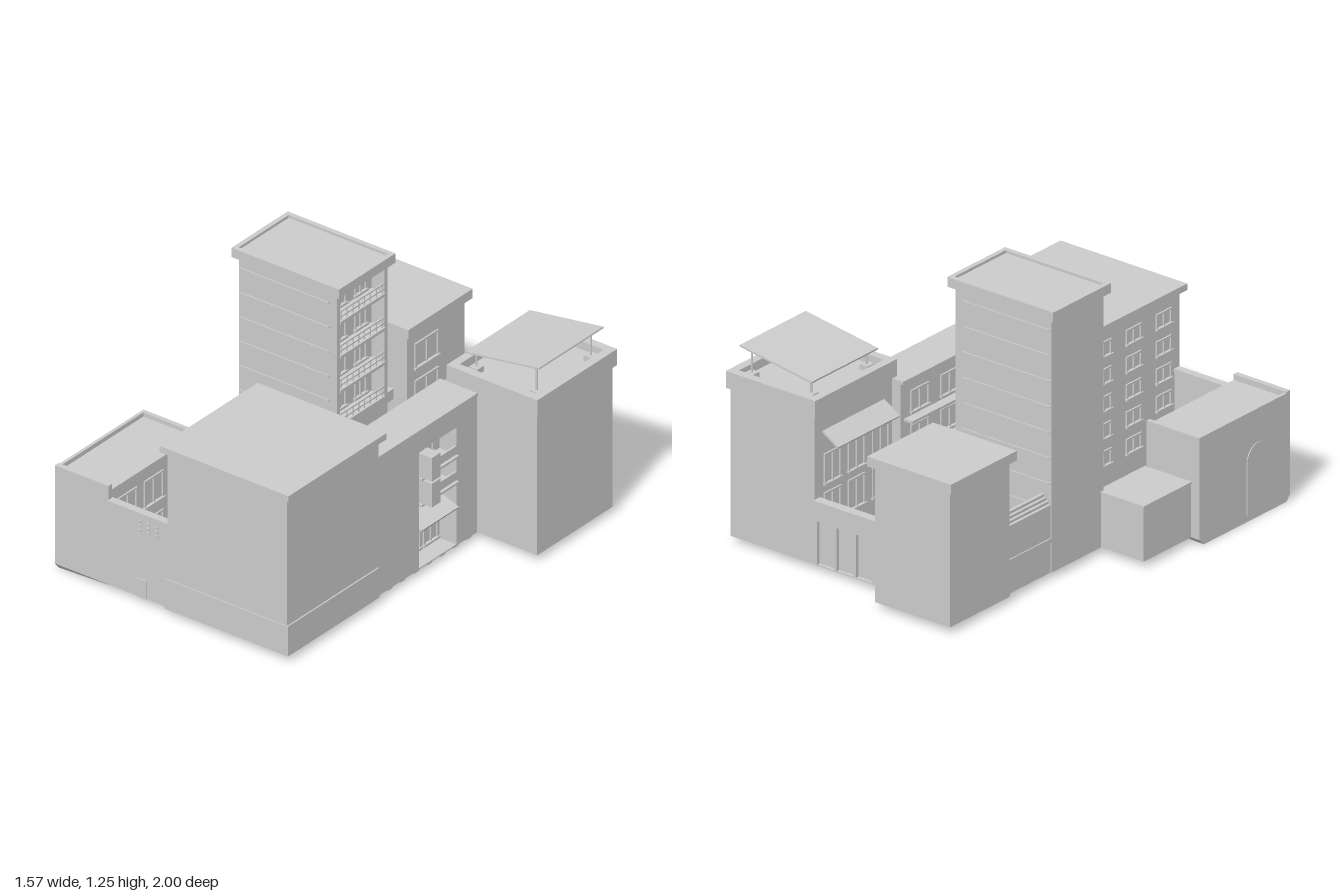
import * as THREE from 'three';

const mat = new THREE.MeshStandardMaterial({ color: 0xcccccc, side: THREE.DoubleSide });

export function createModel() {
  const model = new THREE.Group();
  const add = (name, geo, parent = model) => {
    const m = new THREE.Mesh(geo, mat);
    m.name = name;
    parent.add(m);
    return m;
  };
  const group = (name) => {
    const g = new THREE.Group();
    g.name = name;
    model.add(g);
    return g;
  };
  // Box given by its limits; an open one has no underside
  const box = (p, name, x0, x1, y0, y1, z0, z1, open = false) => {
    const g = new THREE.BoxGeometry(x1 - x0, y1 - y0, z1 - z0);
    if (open) {
      const idx = Array.from(g.index.array);
      idx.splice(18, 6);
      g.setIndex(idx);
      g.clearGroups();
    }
    g.translate((x0 + x1) / 2, (y0 + y1) / 2, (z0 + z1) / 2);
    return add(name, g, p);
  };
  // Flat slab with a raised rim around it
  const rimmedRoof = (p, x0, x1, y0, y1, yFloor, z0, z1, t) => {
    box(p, 'roofSlab', x0, x1, y0, yFloor, z0, z1);
    for (const [a, b] of [[x0, x0 + t], [x1 - t, x1]]) box(p, 'roofRim', a, b, yFloor, y1, z0, z1);
    for (const [a, b] of [[z0, z0 + t], [z1 - t, z1]]) box(p, 'roofRim', x0 + t, x1 - t, yFloor, y1, a, b);
  };
  // Raised frame and sill on a wall that faces along x
  const windowX = (p, x, dir, y, z, w, h) => {
    const lim = (d) => (dir > 0 ? [x, x + d] : [x - d, x]);
    const [a, b] = lim(0.008), [c, d] = lim(0.014), t = 0.008;
    for (const s of [0, w - t]) box(p, 'windowJamb', a, b, y, y + h, z + s, z + s + t);
    box(p, 'windowHead', a, b, y + h - t, y + h, z, z + w);
    box(p, 'windowSill', c, d, y - 0.006, y + 0.004, z - 0.005, z + w + 0.005);
    box(p, 'windowMullion', a, b, y, y + h, z + w / 2 - 0.003, z + w / 2 + 0.003);
  };

  // Large front block with plinth and flat overhanging roof
  const hall = group('frontBlock');
  box(hall, 'walls', -0.18, 0.457, 0.03, 0.79, 0.355, 0.98, true);
  box(hall, 'roof', -0.205, 0.48, 0.79, 0.82, 0.33, 1.0);
  box(hall, 'plinthFront', -0.19, 0.464, 0.03, 0.175, 0.98, 0.985);
  box(hall, 'plinthSide', 0.457, 0.464, 0.03, 0.175, 0.36, 0.985);
  box(hall, 'floorStrip', -0.12, 0.2, 0.03, 0.035, 0.355, 0.978);
  for (let r = 0; r < 5; r++)
    for (const z of [0.42, 0.62, 0.82]) windowX(hall, -0.18, -1, 0.16 + r * 0.126, z, 0.1, 0.07);

  // Low front-right wing with lipped roof, arched doorway and sloping footing
  const wing = group('sideWing');
  box(wing, 'walls', -0.785, -0.5, 0.03, 0.48, 0.365, 0.97);
  box(wing, 'frontLip', -0.785, -0.5, 0.48, 0.507, 0.945, 0.97);
  box(wing, 'outerLip', -0.785, -0.77, 0.48, 0.5, 0.365, 0.945);
  box(wing, 'backLip', -0.77, -0.5, 0.48, 0.5, 0.365, 0.385);
  const arch = new THREE.Shape();
  arch.moveTo(-0.075, 0);
  arch.lineTo(0.075, 0);
  arch.lineTo(0.075, 0.24);
  arch.absarc(0, 0.24, 0.075, 0, Math.PI, false);
  const archGeo = new THREE.ExtrudeGeometry(arch, { depth: 0.005, bevelEnabled: false });
  archGeo.rotateY(-Math.PI / 2).translate(-0.784, 0.03, 0.755);
  add('archedDoor', archGeo, wing);
  const foot = new THREE.BoxGeometry(0.285, 0.03, 0.605).translate(-0.6425, 0.015, 0.6675);
  const fp = foot.attributes.position;
  for (let i = 0; i < fp.count; i++) {
    if (fp.getY(i) > 0.01) continue;
    if (fp.getX(i) > -0.6) fp.setY(i, 0.028);
    else fp.setZ(i, fp.getZ(i) > 0.6 ? 0.945 : 0.395);
  }
  foot.computeVertexNormals();
  add('footing', foot, wing);
  for (const y of [0.1, 0.29])
    for (const z of [0.42, 0.6, 0.78]) windowX(wing, -0.5, 1, y, z, 0.13, 0.13);

  // Entrance wall with coping, door and vents between wing and front block
  const gate = group('entranceWall');
  box(gate, 'wall', -0.5, -0.18, 0.03, 0.425, 0.945, 0.97);
  box(gate, 'coping', -0.503, -0.18, 0.425, 0.44, 0.94, 0.977);
  box(gate, 'door', -0.345, -0.295, 0.03, 0.12, 0.97, 0.975);
  for (let i = 0; i < 3; i++)
    for (let j = 0; j < 3; j++)
      box(gate, 'vent', -0.34 + i * 0.045, -0.325 + i * 0.045, 0.35 + j * 0.022, 0.358 + j * 0.022, 0.97, 0.976);
  box(gate, 'yardFloor', -0.5, -0.18, 0.03, 0.037, 0.36, 0.945);

  // Small lean-to beside the tower
  box(model, 'annex', -0.74, -0.49, 0.03, 0.28, 0.05, 0.365, true);
  box(model, 'annexRoof', -0.745, -0.49, 0.28, 0.288, 0.045, 0.365);

  // Tower with banded faces and stacked balconies
  const tower = group('tower');
  box(tower, 'core', -0.51, -0.06, 0.03, 1.2, -0.28, 0.065, true);
  box(tower, 'lowerEnd', -0.06, 0.01, 0.03, 0.55, -0.28, 0.065, true);
  for (const z of [-0.28, 0.045]) box(tower, 'balconyFin', -0.06, 0.01, 0.55, 1.2, z, z + 0.02);
  for (let i = 0; i < 4; i++) {
    const y = 0.55 + i * 0.166;
    box(tower, 'balconySlab', -0.06, 0.015, y, y + 0.014, -0.26, 0.045);
    for (const h of [0.03, 0.055]) box(tower, 'balconyRail', 0.002, 0.009, y + h, y + h + 0.006, -0.26, 0.045);
    for (let k = 0; k < 8; k++)
      box(tower, 'railPost', 0.003, 0.008, y, y + 0.06, -0.25 + k * 0.04, -0.246 + k * 0.04);
    for (const z of [-0.22, -0.08]) windowX(tower, -0.06, 1, y + 0.03, z, 0.08, 0.1);
  }
  for (let y = 0.2; y < 1.19; y += 0.118) {
    box(tower, 'frontBand', -0.505, -0.03, y, y + 0.007, 0.065, 0.071);
    box(tower, 'backBand', -0.505, -0.03, y, y + 0.007, -0.286, -0.28);
  }
  rimmedRoof(tower, -0.535, 0.037, 1.2, 1.245, 1.232, -0.3, 0.085, 0.022);
  box(tower, 'porchCanopy', 0.01, 0.07, 0.3, 0.315, -0.235, 0.005);
  for (const [a, b] of [[-0.34, -0.26], [-0.245, -0.02]]) box(tower, 'frontBalcony', a, b, 0.3, 0.34, 0.065, 0.12);
  box(tower, 'terraceBox', -0.245, -0.197, 0.44, 0.545, 0.065, 0.08);

  // Rear block with capped roof, windows and a balcony
  const rear = group('rearBlock');
  box(rear, 'walls', -0.525, -0.12, 0.03, 0.66, -0.975, -0.58);
  box(rear, 'roof', -0.55, -0.097, 0.66, 0.705, -1.0, -0.56);
  for (const y of [0.3, 0.48]) windowX(rear, -0.12, 1, y, -0.79, 0.16, 0.12);
  box(rear, 'balcony', -0.4, -0.19, 0.33, 0.38, -0.58, -0.49);
  box(rear, 'balconyDoor', -0.32, -0.26, 0.38, 0.5, -0.58, -0.545);

  // Link wall between rear block and tower, with slatted lean-to roof
  const link = group('linkWall');
  box(link, 'wall', -0.505, -0.485, 0.03, 0.33, -0.58, -0.28);
  box(link, 'ledge', -0.511, -0.505, 0.17, 0.19, -0.58, -0.28);
  for (let i = 0; i < 4; i++)
    box(link, 'roofSlat', -0.505 + i * 0.011, -0.49 + i * 0.011, 0.33 + i * 0.014, 0.342 + i * 0.014, -0.58, -0.28);

  // Corner block with parapet and tilted canopy on posts
  const corner = group('cornerBlock');
  box(corner, 'walls', 0.315, 0.77, 0.03, 0.715, -0.84, -0.325, true);
  rimmedRoof(corner, 0.3, 0.783, 0.715, 0.793, 0.752, -0.855, -0.31, 0.04);
  const roofY = (x) => 0.845 + (x - 0.355) * 0.15;
  for (const x of [0.39, 0.71])
    for (const z of [-0.77, -0.4]) {
      box(corner, 'postBase', x - 0.022, x + 0.022, 0.752, 0.778, z - 0.022, z + 0.022);
      const h = roofY(x) - 0.765;
      add('canopyPost', new THREE.CylinderGeometry(0.005, 0.005, h, 8).translate(x, 0.765 + h / 2, z), corner);
    }
  const canopy = box(corner, 'canopy', -0.197, 0.197, -0.004, 0.004, -0.22, 0.22);
  canopy.position.set(0.55, 0.875, -0.59);
  canopy.rotation.z = Math.atan(0.15);
  const awning = box(corner, 'awning', -0.05, 0.05, -0.005, 0.005, -0.205, 0.205);
  awning.position.set(0.272, 0.6, -0.585);
  awning.rotation.z = 0.55;
  for (const y of [0.2, 0.38])
    for (const z of [-0.78, -0.62, -0.46]) windowX(corner, 0.315, -1, y, z, 0.11, 0.14);

  // Rear gate wall between corner block and rear block
  const back = group('rearGate');
  box(back, 'lintel', -0.12, 0.315, 0.235, 0.32, -0.845, -0.81);
  box(back, 'panel', -0.12, 0.315, 0.03, 0.235, -0.825, -0.81);
  for (let i = 0; i < 5; i++)
    box(back, 'gatePost', -0.12 + i * 0.105, -0.105 + i * 0.105, 0.03, 0.235, -0.842, -0.825);
  box(back, 'coping', -0.12, 0.315, 0.32, 0.328, -0.85, -0.805);

  // Gallery building on the left, recessed in the middle of its street face
  const side = group('galleryBlock');
  box(side, 'innerWalls', 0.27, 0.36, 0.03, 0.69, -0.325, 0.355);
  box(side, 'streetWallFront', 0.36, 0.45, 0.03, 0.69, 0.07, 0.355);
  box(side, 'streetWallBack', 0.36, 0.45, 0.03, 0.69, -0.325, -0.185);
  box(side, 'streetWallTop', 0.36, 0.45, 0.6, 0.69, -0.185, 0.07);
  box(side, 'roof', 0.255, 0.455, 0.69, 0.705, -0.325, 0.355);
  for (const y of [0.335, 0.46]) {
    box(side, 'gallerySlab', 0.36, 0.465, y, y + 0.01, -0.185, 0.07);
    box(side, 'bay', 0.44, 0.51, y + 0.01, y + 0.125, 0, 0.06);
    box(side, 'galleryRail', 0.44, 0.45, y + 0.01, y + 0.05, -0.185, 0);
    windowX(side, 0.36, 1, y + 0.02, -0.14, 0.11, 0.09);
  }
  const shade = box(side, 'shopAwning', -0.055, 0.055, -0.005, 0.005, -0.127, 0.127);
  shade.position.set(0.41, 0.235, -0.058);
  shade.rotation.z = -0.35;
  for (const z of [-0.17, -0.05]) windowX(side, 0.36, 1, 0.05, z, 0.1, 0.09);
  for (const y of [0.22, 0.38, 0.54]) {
    box(side, 'courtSlab', 0.225, 0.27, y - 0.03, y - 0.018, -0.3, 0.3);
    for (const z of [-0.26, -0.06, 0.14]) windowX(side, 0.27, -1, y, z, 0.12, 0.1);
  }

  // Courtyard paving with small footings beneath
  const paving = group('courtyard');
  const slabs = [[-0.5, 0.315, -0.84, -0.28], [0.01, 0.45, -0.325, 0.36], [-0.5, 0.01, 0.065, 0.36]];
  for (const [x0, x1, z0, z1] of slabs) box(paving, 'paving', x0, x1, 0.028, 0.034, z0, z1);
  const footing = (x, z) => box(paving, 'pavingFooting', x - 0.018, x + 0.018, 0.016, 0.03, z - 0.018, z + 0.018);
  for (let i = 0; i < 11; i++) {
    const x = -0.48 + i * 0.09;
    footing(x, 0.34);
    if (x < 0.31) footing(x, -0.56);
  }
  for (let i = 0; i < 7; i++) {
    footing(0.425, -0.28 + i * 0.09);
    footing(0.04, -0.47 + i * 0.11);
  }
  return model;
}
